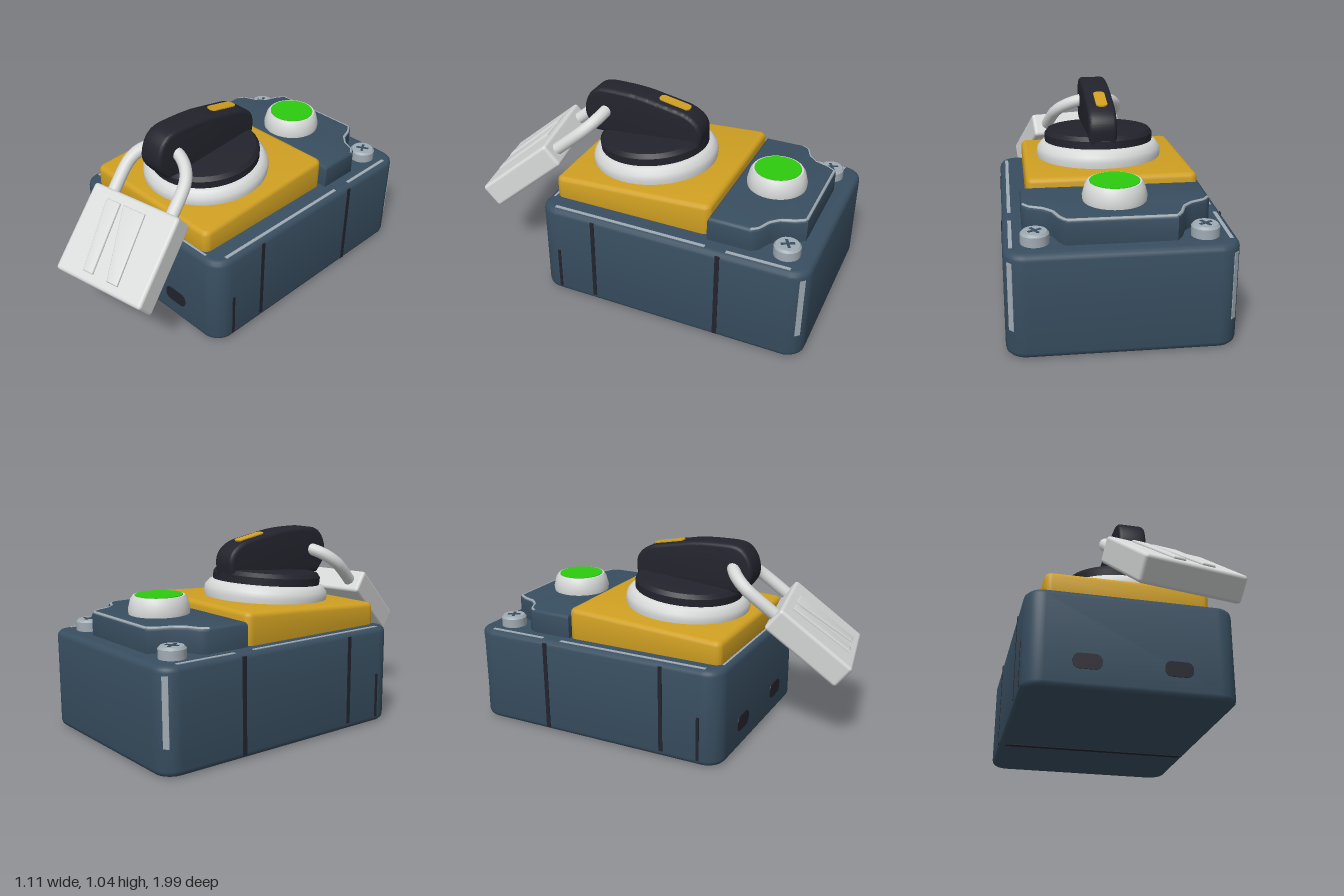
import * as THREE from 'three';
import { toCreasedNormals } from 'three/addons/utils/BufferGeometryUtils.js';
import { RoundedBoxGeometry } from 'three/addons/geometries/RoundedBoxGeometry.js';

const mat = (name, color) => {
  const m = new THREE.MeshStandardMaterial({ color });
  m.name = name;
  return m;
};

export function createModel() {
  const blue = mat('slate blue', 0x384e60);
  const yellow = mat('yellow', 0xd0a022);
  const black = mat('black', 0x23232d);
  const white = mat('light grey', 0xd6d7d7);
  const green = mat('green', 0x2ecb0e);
  const steel = mat('worn steel', 0xa0abb3);

  const root = new THREE.Group();
  const add = (name, geo, material, parent = root) => {
    const mesh = new THREE.Mesh(geo, material);
    mesh.name = name;
    parent.add(mesh);
    return mesh;
  };
  const box = (name, w, h, d, x, y, z, material, parent = root) => {
    const m = add(name, new THREE.BoxGeometry(w, h, d), material, parent);
    m.position.set(x, y, z);
    return m;
  };

  const roundRect = (x0, x1, y0, y1, r) => {
    const s = new THREE.Shape();
    s.absarc(x1 - r, y1 - r, r, 0, Math.PI / 2);
    s.absarc(x0 + r, y1 - r, r, Math.PI / 2, Math.PI);
    s.absarc(x0 + r, y0 + r, r, Math.PI, Math.PI * 1.5);
    s.absarc(x1 - r, y0 + r, r, Math.PI * 1.5, Math.PI * 2);
    return s;
  };
  // Extrusion whose bevel stays inside the outline and the height
  const bevelled = (shape, height, b) => toCreasedNormals(new THREE.ExtrudeGeometry(shape, {
    depth: height - 2 * b, bevelEnabled: true, bevelSize: b, bevelThickness: b,
    bevelOffset: -b, bevelSegments: 3, curveSegments: 10,
  }).translate(0, 0, b), 0.7);
  // Upright slab from a plan shape drawn as (x, -z)
  const slab = (shape, y0, y1, b) =>
    bevelled(shape, y1 - y0, b).rotateX(-Math.PI / 2).translate(0, y0, 0);

  // Housing
  add('housing', slab(roundRect(-0.55, 0.55, -0.475, 1, 0.1), 0, 0.523, 0.03), blue);
  for (const x of [-0.235, 0.23]) {
    const g = new THREE.ExtrudeGeometry(roundRect(x - 0.074, x + 0.074, 0.103, 0.185, 0.035),
      { depth: 0.006, bevelEnabled: false });
    add('frontSlot', g.translate(0, 0, 0.473), black);
  }
  for (const s of [-1, 1]) {
    box('sideSeam', 0.006, 0.47, 0.022, s * 0.55, 0.27, 0.15, black);
    box('sideSeam', 0.006, 0.49, 0.024, s * 0.55, 0.265, -0.545, black);
    box('shortSeam', 0.006, 0.24, 0.016, s * 0.55, 0.15, 0.36, black);
    box('rimWearRear', 0.018, 0.006, 0.33, s * 0.513, 0.523, -0.74, steel);
    box('rimWearFront', 0.018, 0.006, 0.85, s * 0.513, 0.523, -0.04, steel);
    box('cornerWear', 0.03, 0.34, 0.008, s * 0.5195, 0.31, -0.9695, steel).rotation.y = -s * Math.PI / 4;
  }
  box('bottomSeam', 1.03, 0.006, 0.03, 0, 0, -0.48, black);
  box('frontRimWear', 0.86, 0.006, 0.012, 0, 0.521, 0.442, steel);

  // Rear platform with corners scooped out around the screws
  const half = [[0.455, 0.45], [0.455, 0.68], [0.43, 0.715], [0.36, 0.745], [0.315, 0.79], [0.29, 0.86], [0.26, 0.905]];
  const outline = [...half, ...half.map(([x, y]) => [-x, y]).reverse()];
  add('rearPlatform', slab(new THREE.Shape(outline.map(p => new THREE.Vector2(...p))), 0.5, 0.65, 0.02), blue);
  const edge = new THREE.CurvePath();
  const edgePts = outline.slice(1, -1).map(([x, y]) => new THREE.Vector3(x * 0.98, 0.642, -y + 0.01));
  for (let i = 1; i < edgePts.length; i++) edge.add(new THREE.LineCurve3(edgePts[i - 1], edgePts[i]));
  add('platformEdgeWear', new THREE.TubeGeometry(edge, 90, 0.009, 6), steel);

  // Cover screws
  for (const s of [-1, 1]) {
    const screw = new THREE.Group();
    screw.name = 'coverScrew';
    screw.position.set(s * 0.4, 0.5, -0.85);
    const profile = [[0, 0], [0.068, 0], [0.068, 0.07], [0.058, 0.082], [0, 0.082]];
    add('screwHead', toCreasedNormals(new THREE.LatheGeometry(
      profile.map(p => new THREE.Vector2(...p)), 24), 0.6), steel, screw);
    for (const a of [0.5, 0.5 + Math.PI / 2])
      box('screwSlot', 0.07, 0.004, 0.014, 0, 0.083, 0, blue, screw).rotation.y = a;
    root.add(screw);
  }

  const lathe = pts => toCreasedNormals(
    new THREE.LatheGeometry(pts.map(p => new THREE.Vector2(...p)), 48), 0.6);

  // Push button
  const button = new THREE.Group();
  button.name = 'pushButton';
  button.position.set(0.005, 0.645, -0.66);
  root.add(button);
  add('buttonCollar', lathe([[0, 0], [0.155, 0], [0.158, 0.03], [0.145, 0.08], [0.132, 0.098], [0.122, 0.098], [0, 0.09]]), white, button);
  add('buttonCap', new THREE.CylinderGeometry(0.122, 0.122, 0.01, 48), green, button).position.y = 0.096;

  // Yellow plate, its top sloping down toward the front
  const plate = slab(roundRect(-0.452, 0.422, -0.435, 0.45, 0.04), 0.5, 0.69, 0.025);
  const pos = plate.attributes.position;
  for (let i = 0; i < pos.count; i++)
    if (pos.getY(i) > 0.6) pos.setY(i, pos.getY(i) - 0.056 * (pos.getZ(i) + 0.45));
  add('yellowPlate', plate, yellow);

  // Rotary selector
  const dial = new THREE.Group();
  dial.name = 'selectorDial';
  dial.position.set(0.004, 0.662, 0.035);
  dial.rotation.x = 0.085;
  root.add(dial);
  add('dialRing', lathe([[0, -0.02], [0.335, -0.02], [0.343, 0.02], [0.338, 0.05], [0.315, 0.078], [0.295, 0.085], [0, 0.085]]), white, dial);
  add('dialDisc', lathe([[0, 0.07], [0.295, 0.07], [0.297, 0.125], [0.28, 0.147], [0.25, 0.152], [0, 0.152]]), black, dial);

  // Grip, drawn as (z, y) and extruded across x
  const grip = [[0.37, 0.775], [0.425, 0.85], [0.43, 0.92], [0.4, 0.99], [0.34, 1.03], [0.22, 1.035], [0.1, 1.028],
    [0.01, 1.013], [-0.08, 0.996], [-0.16, 0.978], [-0.225, 0.938], [-0.252, 0.88], [-0.245, 0.79]];
  const gripShape = new THREE.Shape();
  gripShape.moveTo(...grip[0]);
  gripShape.splineThru(grip.slice(1).map(p => new THREE.Vector2(...p)));
  gripShape.closePath();
  add('dialGrip', bevelled(gripShape, 0.148, 0.02).rotateY(-Math.PI / 2).translate(0.084, 0, 0), black);
  const mark = new THREE.ExtrudeGeometry(roundRect(-0.03, 0.03, -0.088, 0.088, 0.022), { depth: 0.009, bevelEnabled: false });
  const marker = add('gripMarker', mark.rotateX(-Math.PI / 2), yellow);
  marker.position.set(0.006, 0.994, -0.075);
  marker.rotation.x = -0.19;

  // Padlock, hanging askew from the grip
  const lock = new THREE.Group();
  lock.name = 'padlock';
  root.add(lock);
  const ax = new THREE.Vector3(0.53, 0, -0.1).normalize();
  const ay = new THREE.Vector3(-0.105, 0.3, -0.36).normalize();
  const az = ax.clone().cross(ay).normalize();
  const hang = new THREE.Matrix4().makeBasis(ax, ay, az).setPosition(0.129, 0.562, 0.728);
  add('lockBody', new RoundedBoxGeometry(0.54, 0.48, 0.14, 3, 0.018).applyMatrix4(hang), white, lock);

  // Raised lock panels: top left, top right, bottom right, bottom left
  for (const [a, b, c, d] of [[-0.155, -0.067, -0.045, -0.107], [-0.048, 0.09, 0.112, 0.045]]) {
    const s = new THREE.Shape([[a, 0.185], [d, -0.19], [c, -0.19], [b, 0.185]].map(p => new THREE.Vector2(...p)));
    add('lockPanel', bevelled(s, 0.02, 0.007).translate(0, 0, 0.062).applyMatrix4(hang), white, lock);
  }

  // Shackle: two legs joined by a half circle
  const pts = [new THREE.Vector3(-0.187, 0.2, 0)];
  for (let i = 0; i <= 12; i++) {
    const t = Math.PI * (1 - i / 12);
    pts.push(new THREE.Vector3(0.187 * Math.cos(t), 0.375 + 0.187 * Math.sin(t), 0));
  }
  pts.push(new THREE.Vector3(0.187, 0.2, 0));
  add('lockShackle', new THREE.TubeGeometry(new THREE.CatmullRomCurve3(pts), 60, 0.034, 14).applyMatrix4(hang), white, lock);

  return root;
}
